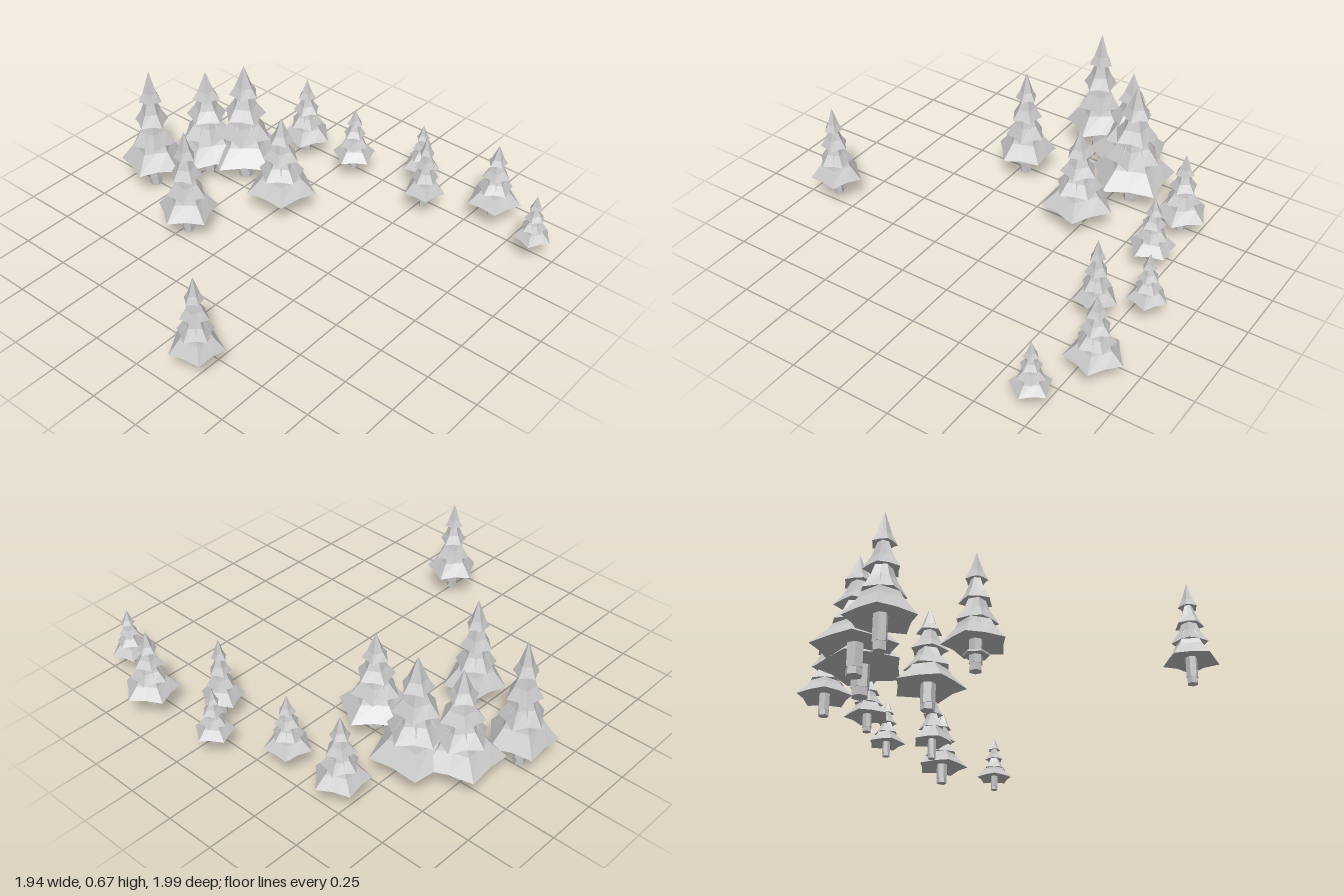
import * as THREE from 'three';

const needleGrey = new THREE.MeshStandardMaterial({ color: 0xc8c8c8, flatShading: true });
needleGrey.name = 'light grey';

// x, z, base y, top y, skirt radius, angle of the first tip in degrees
const TREES = [
  [-0.02, -0.86, 0.01, 0.667, 0.165, 90],
  [0.235, -0.73, 0.015, 0.597, 0.2, 16],
  [0.343, -0.573, 0, 0.642, 0.21, 32],
  [0.236, -0.24, 0.022, 0.537, 0.176, -4],
  [-0.2, -0.456, 0.02, 0.59, 0.15, 33],
  [0.678, -0.447, 0.035, 0.457, 0.132, 11],
  [0.688, -0.142, 0.057, 0.405, 0.112, 33],
  [0.838, 0.169, 0.06, 0.365, 0.095, -2],
  [0.662, 0.312, 0.052, 0.458, 0.103, -4],
  [0.833, 0.605, 0.042, 0.444, 0.134, 0],
  [0.712, 0.9, 0.063, 0.36, 0.094, 17],
  [-0.854, 0.224, 0.033, 0.519, 0.128, -12],
];

// Tiers of branches: start height, rise (parts of tree height), radius (part of skirt)
const TIERS = [
  [0.215, 0.46, 1],
  [0.385, 0.38, 0.66],
  [0.565, 0.31, 0.52],
  [0.75, 0.25, 0.36],
];

// Five-pointed drooping cone with a recessed underside
function tierGeometry(radius, rise) {
  const ring = (r, valley, y, lift) => Array.from({ length: 10 }, (_, i) => {
    const a = (i * Math.PI) / 5;
    const k = i % 2 ? r * valley : r;
    return [Math.cos(a) * k, y + (i % 2 ? lift : 0), Math.sin(a) * k];
  });
  const hem = ring(radius, 0.78, 0, rise * 0.03);
  const waist = ring(radius * 0.6, 0.78, rise * 0.29, 0);
  const apex = [0, rise, 0];
  const under = [0, rise * 0.1, 0];
  const p = [];
  for (let i = 0; i < 10; i++) {
    const j = (i + 1) % 10;
    p.push(...hem[i], ...waist[i], ...hem[j]);
    p.push(...waist[i], ...waist[j], ...hem[j]);
    p.push(...waist[i], ...apex, ...waist[j]);
    p.push(...under, ...hem[i], ...hem[j]);
  }
  const g = new THREE.BufferGeometry();
  g.setAttribute('position', new THREE.Float32BufferAttribute(p, 3));
  g.computeVertexNormals();
  return g;
}

function addMesh(parent, name, geometry, y, turn = 0) {
  const mesh = new THREE.Mesh(geometry, needleGrey);
  mesh.name = name;
  mesh.position.y = y;
  mesh.rotation.y = turn;
  parent.add(mesh);
  return mesh;
}

function makeTree([x, z, base, top, radius, degrees]) {
  const tree = new THREE.Group();
  tree.name = 'pineTree';
  tree.position.set(x, base, z);
  tree.rotation.y = -THREE.MathUtils.degToRad(degrees);
  const h = top - base;

  // Six-sided trunk on a slightly narrower foot
  const r = radius * 0.2;
  const foot = h * 0.06;
  const stem = h * 0.2;
  addMesh(tree, 'trunkFoot', new THREE.CylinderGeometry(r * 0.94, r * 0.94, foot, 6), foot / 2, 0.2);
  addMesh(tree, 'trunk', new THREE.CylinderGeometry(r, r, stem, 6), foot + stem / 2);

  // Branch tiers, each turned against the one below
  TIERS.forEach(([start, rise, size], i) => {
    addMesh(tree, 'branchTier', tierGeometry(radius * size, h * rise), h * start, i * 0.55);
  });
  return tree;
}

export function createModel() {
  const model = new THREE.Group();
  model.name = 'pineGrove';
  TREES.forEach((t) => model.add(makeTree(t)));

  // Thin collar round one trunk
  const collar = addMesh(model, 'trunkCollar', new THREE.CylinderGeometry(0.058, 0.058, 0.009, 6), 0.096);
  collar.position.x = -0.202;
  collar.position.z = -0.456;
  return model;
}
